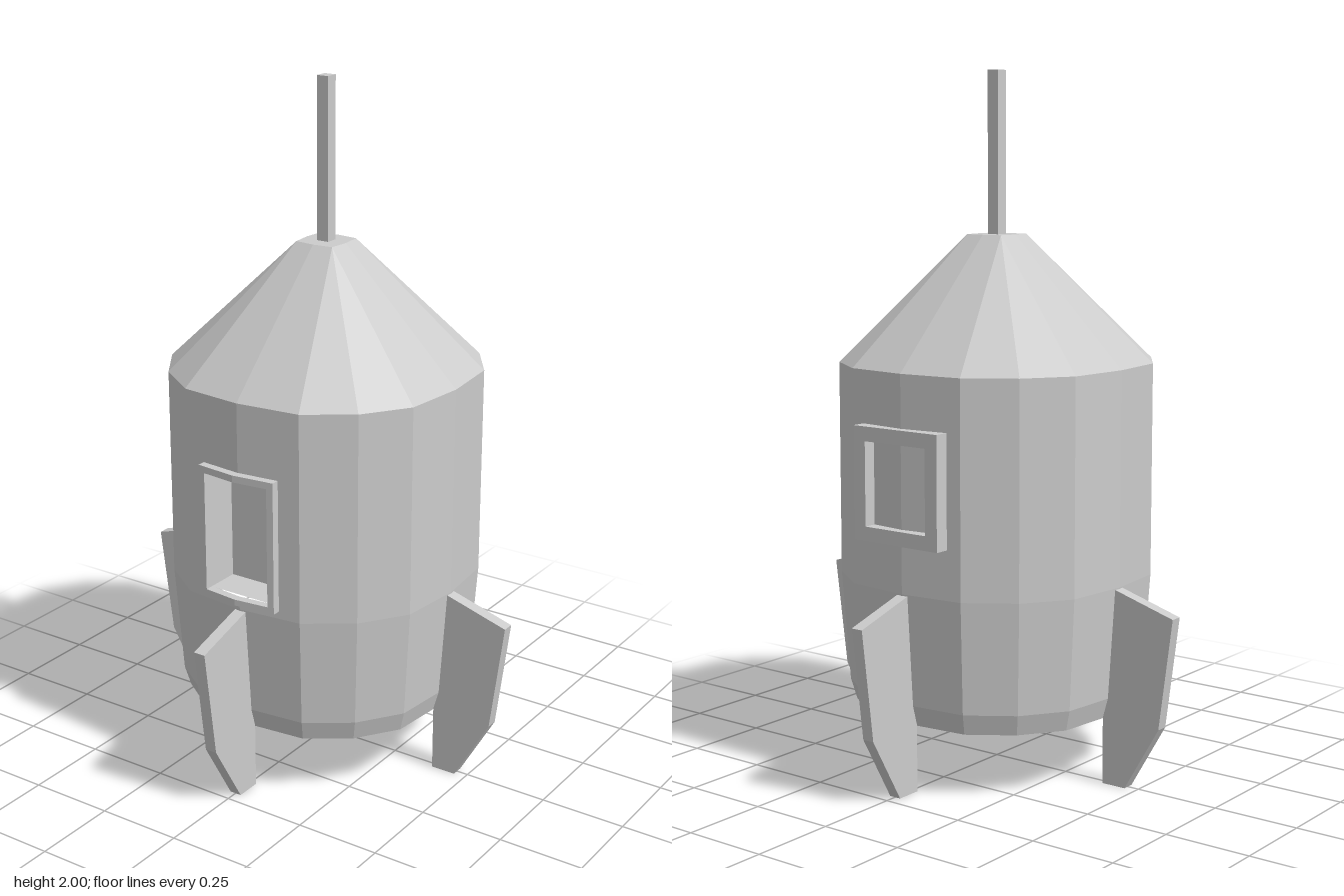
import * as THREE from 'three';

const HULL_BASE = 0.57, HULL_TOP = 1.18;
const DOOR = { w: 0.105, y0: 0.61, y1: 0.96 };

// One quarter of a 16-point ring, turned four times; runs front -> left -> back -> right
function ring(quarter, y, scale = 1) {
  const pts = [];
  for (let q = 0; q < 4; q++) {
    for (const [x, z] of quarter) {
      let p = [x * scale, z * scale];
      for (let k = 0; k < q; k++) p = [p[1], -p[0]];
      pts.push([p[0], y, p[1]]);
    }
  }
  return pts;
}

// Skin between successive rings, with optional skipped quads and end caps
function loft(rings, { skip = () => false, capBottom = false, capTop = false } = {}) {
  const pos = [];
  const tri = (...p) => p.forEach((v) => pos.push(...v));
  for (let r = 0; r < rings.length - 1; r++) {
    const lo = rings[r], hi = rings[r + 1], n = lo.length;
    for (let i = 0; i < n; i++) {
      if (skip(r, i)) continue;
      const j = (i + 1) % n;
      tri(lo[i], lo[j], hi[j]);
      if (hi[i].some((v, k) => v !== hi[j][k])) tri(lo[i], hi[j], hi[i]);
    }
  }
  const cap = (pts, up) => pts.forEach((p, i) => {
    const q = pts[(i + 1) % pts.length], c = [0, p[1], 0];
    up ? tri(c, p, q) : tri(c, q, p);
  });
  if (capBottom) cap(rings[0], false);
  if (capTop) cap(rings[rings.length - 1], true);
  const geo = new THREE.BufferGeometry();
  geo.setAttribute('position', new THREE.Float32BufferAttribute(pos, 3));
  geo.computeVertexNormals();
  return geo;
}

// Half of a rectangle around the doorway; side is +1 or -1
function halfSurround(side, w, y0, y1) {
  const pts = [[0, y0], [w, y0], [w, y1], [0, y1], [0, DOOR.y1], [DOOR.w, DOOR.y1], [DOOR.w, DOOR.y0], [0, DOOR.y0]];
  return new THREE.Shape(pts.map(([x, y]) => new THREE.Vector2(side * x, y)));
}

// Push a geometry onto the two shallow front facets of the hull
function bendToFront(geo) {
  const p = geo.attributes.position;
  for (let i = 0; i < p.count; i++) p.setZ(i, p.getZ(i) + 0.43 - Math.abs(p.getX(i)) * (0.02 / 0.19));
  geo.computeVertexNormals();
  return geo;
}

export function createModel() {
  const model = new THREE.Group();
  model.name = 'rocket';
  const mat = new THREE.MeshStandardMaterial({ color: 0xcccccc, flatShading: true });
  const openMat = new THREE.MeshStandardMaterial({ color: 0xcccccc, flatShading: true, side: THREE.DoubleSide });
  const add = (name, geo, parent = model, material = mat) => {
    const mesh = new THREE.Mesh(geo, material);
    mesh.name = name;
    parent.add(mesh);
    return mesh;
  };

  // Hull, leaving the two front wall facets open for the doorway
  const section = [[0, 0.43], [0.19, 0.41], [0.32, 0.32], [0.41, 0.19]];
  add('hull', loft([
    ring(section, 0.19, 0.91),
    ring(section, 0.25, 0.95),
    ring(section, HULL_BASE),
    ring(section, HULL_TOP),
  ], { capBottom: true, skip: (r, i) => r === 2 && (i === 0 || i === 15) }));

  // Nose cone narrowing to a small, nearly square top
  const tip = [[0, 0.066], [0.06, 0.06], [0.06, 0.06], [0.06, 0.06]];
  add('noseCone', loft([ring(section, HULL_TOP), ring(tip, 1.54)], { capTop: true }));

  // Antenna
  add('antenna', new THREE.BoxGeometry(0.037, 0.46, 0.037).translate(0, 1.77, 0));

  // Doorway: front wall, raised frame and recess
  const door = new THREE.Group();
  door.name = 'door';
  model.add(door);
  for (const side of [1, -1]) {
    add('frontWall', bendToFront(new THREE.ShapeGeometry(halfSurround(side, 0.19, HULL_BASE, HULL_TOP))), door);
    add('doorFrame', bendToFront(new THREE.ExtrudeGeometry(
      halfSurround(side, 0.125, 0.592, 0.98), { depth: 0.024, bevelEnabled: false })), door);
  }
  const recess = new THREE.BoxGeometry(2 * DOOR.w, DOOR.y1 - DOOR.y0, 0.1);
  const idx = Array.from(recess.index.array);
  idx.splice(24, 6); // open front
  recess.setIndex(idx);
  recess.clearGroups();
  add('doorRecess', recess.translate(0, (DOOR.y0 + DOOR.y1) / 2, 0.37), door, openMat);

  // Rear window frame
  const rect = (Type, w, h) => new Type([[-w, -h], [w, -h], [w, h], [-w, h]].map((p) => new THREE.Vector2(...p)));
  const frame = rect(THREE.Shape, 0.147, 0.16);
  frame.holes.push(rect(THREE.Path, 0.106, 0.119));
  add('windowFrame', new THREE.ExtrudeGeometry(frame, { depth: 0.045, bevelEnabled: false })
    .translate(0, 0.87, -0.457));

  // Four fins
  const finShape = new THREE.Shape([[0.39, 0], [0.465, 0], [0.575, 0.19], [0.617, 0.51], [0.425, 0.567], [0.39, 0.2]]
    .map((p) => new THREE.Vector2(...p)));
  const finGeo = new THREE.ExtrudeGeometry(finShape, { depth: 0.036, bevelEnabled: false }).translate(0, 0, -0.018);
  for (let i = 0; i < 4; i++) add('fin', finGeo).rotation.y = (i * Math.PI) / 2;

  return model;
}
